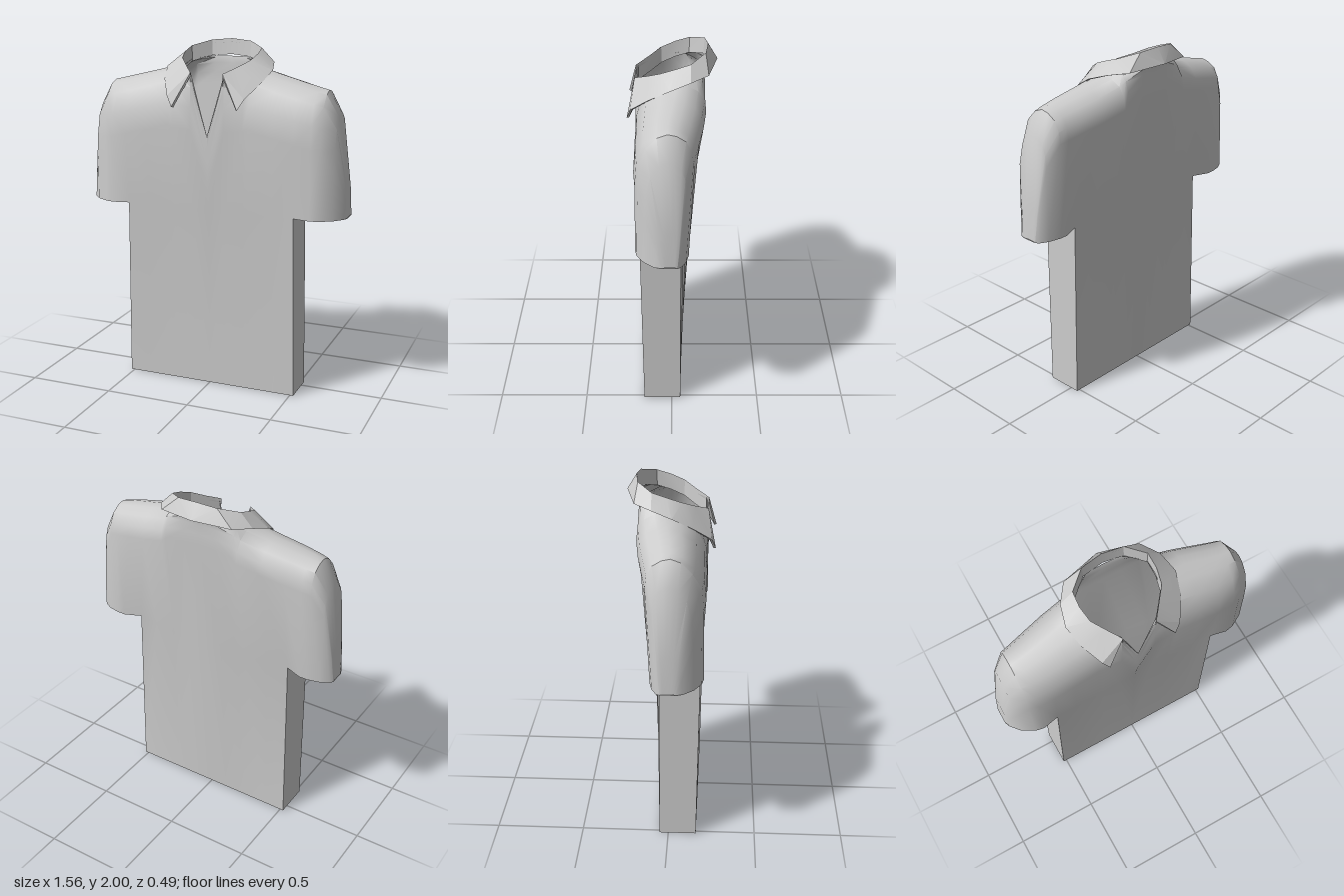
import * as THREE from 'three';
import { toCreasedNormals } from 'three/addons/utils/BufferGeometryUtils.js';

const HEM = 1.06; // height of the sleeve hem

// Collects quads on the +x side together with their mirror images.
class MirroredSurface {
  constructor() { this.pos = []; }
  tri(a, b, c) {
    const [A, B, C] = [a, b, c].map((p) => new THREE.Vector3(...p));
    if (B.clone().sub(A).cross(C.clone().sub(A)).length() < 1e-6) return;
    this.pos.push(...a, ...b, ...c);
    for (const p of [a, c, b]) this.pos.push(-p[0], p[1], p[2]);
  }
  quad(a, b, c, d) { this.tri(a, b, c); this.tri(a, c, d); }
  mesh(name, crease) {
    const g = new THREE.BufferGeometry();
    g.setAttribute('position', new THREE.Float32BufferAttribute(this.pos, 3));
    const mat = new THREE.MeshStandardMaterial({ color: 0xcccccc, side: THREE.DoubleSide });
    const m = new THREE.Mesh(toCreasedNormals(g, crease), mat);
    m.name = name;
    return m;
  }
}

// One half of a shoulder section: hem, then a rounded rise to the top edge.
function rise(x, top, zHem, zChest, zTop, roundness) {
  const s = Math.min(1, (top - HEM) / 0.5);
  const curve = [[0.32, 0], [0.19, 0.06], [0.08, 0.28], [0.02, 0.65], [0, 1]];
  return [[x, HEM, zHem], ...curve.map(([drop, t]) =>
    [x, top - drop * s * roundness, zChest + (zTop - zChest) * t])];
}

// Columns from the centre outwards:
// x, front [top, zHem, zChest, zTop], back [top, zHem, zUpper, zTop]
const COLUMNS = [
  [0, [1.49, 0.17, 0.19, 0.195], [1.9, -0.118, -0.175, -0.185]],
  [0.1, [1.84, 0.17, 0.2, 0.185], [1.9, -0.105, -0.175, -0.18]],
  [0.21, [1.85, 0.17, 0.2, 0.06], [1.885, -0.09, -0.18, -0.1]],
  [0.24, [1.86, 0.17, 0.2, -0.03], [1.86, -0.086, -0.183, -0.03]],
  [0.38, [1.825, 0.17, 0.2, -0.01], [1.825, -0.067, -0.165, -0.01]],
  [0.505, [1.795, 0.175, 0.2, 0.01], [1.795, -0.05, -0.14, 0.01]],
  [0.6, [1.772, 0.195, 0.19, 0.02], [1.772, -0.09, -0.12, 0.02]],
  [0.65, [1.76, 0.185, 0.175, 0.02], [1.76, -0.09, -0.11, 0.02]],
  [0.72, [1.64, 0.145, 0.14, 0.02], [1.64, -0.075, -0.075, 0.02]],
  [0.768, [1.26, 0.09, 0.08, 0.02], [1.26, -0.05, -0.045, 0.02]],
  [0.78, [1.065, 0.06, 0.05, 0.02], [1.065, -0.03, -0.03, 0.02]],
];
const ARMPIT = 5; // column where the sleeve leaves the body
const NECK = 2;   // columns before this one are open at the top

function buildShirt() {
  const s = new MirroredSurface();
  const cols = COLUMNS.map(([x, f, b]) =>
    [...rise(x, ...f, 1), ...rise(x, ...b, 0.5).reverse()]);
  const last = cols[0].length - 1;
  const base = cols.map(([p]) => ({
    front: [p[0] * 1.03, 0, 0.16], back: [p[0] * 1.03, 0, -0.05],
  }));
  for (let i = 0; i < cols.length - 1; i++) {
    const a = cols[i], b = cols[i + 1];
    // chest, shoulders, sleeves and upper back
    for (let j = 0; j < last; j++) {
      if (i < NECK && j === (last - 1) / 2) continue;
      s.quad(a[j], b[j], b[j + 1], a[j + 1]);
    }
    if (i < ARMPIT) {
      // lower front and back, open at the bottom
      s.quad(base[i].front, base[i + 1].front, b[0], a[0]);
      s.quad(a[last], b[last], base[i + 1].back, base[i].back);
    } else {
      // closed sleeve hem
      s.quad(a[0], a[last], b[last], b[0]);
    }
  }
  // side of the body below the sleeve
  const side = cols[ARMPIT];
  s.quad(base[ARMPIT].front, base[ARMPIT].back, side[last], side[0]);
  return s.mesh('shirtBody', 0.7);
}

// Folded collar: fold line and outer edge, from the front tip to the centre back.
const FOLD = [[0.095, 1.84, 0.2], [0.15, 1.87, 0.13], [0.205, 1.905, 0.06], [0.22, 1.935, -0.02],
  [0.215, 1.96, -0.1], [0.12, 1.99, -0.18], [0, 2, -0.195]];
const EDGE = [[0.195, 1.65, 0.243], [0.23, 1.71, 0.222], [0.29, 1.79, 0.12], [0.32, 1.85, 0.01],
  [0.29, 1.885, -0.1], [0.22, 1.9, -0.195], [0, 1.915, -0.247]];

function buildCollar() {
  const s = new MirroredSurface();
  const sections = FOLD.map((f, i) => {
    const e = EDGE[i];
    const stand = [f[0] * 0.98, f[1] - 0.09, f[2] * 0.96];
    const under = [e[0] * 0.96, e[1] - 0.004, e[2] * 0.95];
    const foldUnder = [f[0] * 1.01, f[1] - 0.02, f[2] * 0.99];
    return [stand, f, e, under, foldUnder];
  });
  for (let i = 0; i < sections.length - 1; i++) {
    const a = sections[i], b = sections[i + 1];
    for (let j = 0; j < a.length - 1; j++) s.quad(a[j], a[j + 1], b[j + 1], b[j]);
  }
  // front end of each collar leaf
  const [, f, e, u, fu] = sections[0];
  s.quad(f, fu, u, e);
  return s.mesh('collar', 0.4);
}

export function createModel() {
  const shirt = new THREE.Group();
  shirt.name = 'poloShirt';
  shirt.add(buildShirt(), buildCollar());
  return shirt;
}
